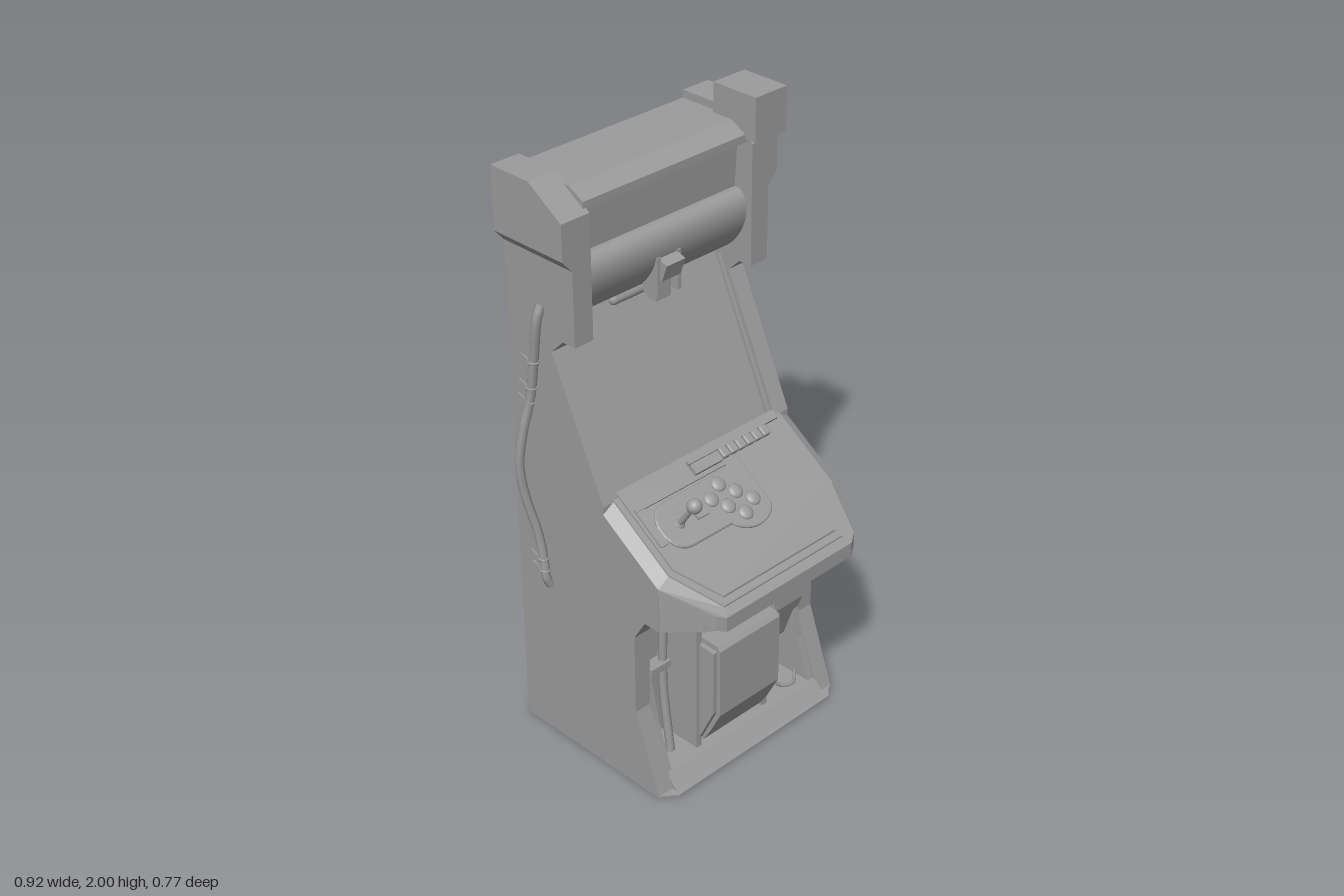
import * as THREE from 'three';
import { RoundedBoxGeometry } from 'three/addons/geometries/RoundedBoxGeometry.js';

const grey = new THREE.MeshStandardMaterial({ color: 0x9b9b9b });
const V = (x, y, z) => new THREE.Vector3(x, y, z);
const shapeOf = pts => new THREE.Shape(pts.map(p => new THREE.Vector2(p[0], p[1])));

export function createModel() {
  const root = new THREE.Group();
  root.name = 'arcadeCabinet';

  function add(name, geo, pos = [0, 0, 0], parent = root) {
    const m = new THREE.Mesh(geo, grey);
    m.name = name;
    m.position.set(...pos);
    parent.add(m);
    return m;
  }
  const box = (name, w, h, d, pos, parent) => add(name, new THREE.BoxGeometry(w, h, d), pos, parent);

  // side profile of [z, y] points, extruded from x0 to x1
  function prism(name, pts, x0, x1) {
    const g = new THREE.ExtrudeGeometry(shapeOf(pts), { depth: x1 - x0, bevelEnabled: false });
    g.rotateY(-Math.PI / 2).translate(x1, 0, 0);
    return add(name, g);
  }
  // plan outline of [x, z] points between two heights that depend on z and x
  function slab(name, pts, bottom, top) {
    const g = new THREE.ExtrudeGeometry(shapeOf(pts.map(([x, z]) => [x, -z])), { depth: 1, bevelEnabled: false });
    g.rotateX(-Math.PI / 2);
    const p = g.attributes.position;
    for (let i = 0; i < p.count; i++) p.setY(i, (p.getY(i) < 0.5 ? bottom : top)(p.getZ(i), p.getX(i)));
    g.computeVertexNormals();
    return add(name, g);
  }
  // completes a left half outline with its mirror image
  const mirror = half => [...half, ...half.map(([x, z]) => [-x, z]).reverse()];
  const tube = (name, pts, r, n = 40, sides = 8) =>
    add(name, new THREE.TubeGeometry(new THREE.CatmullRomCurve3(pts.map(p => V(...p))), n, r, sides));

  // central body: top beam, recessed marquee, rounded hood, screen, lower recess
  const hood = new THREE.CubicBezierCurve(new THREE.Vector2(-0.155, 1.69), new THREE.Vector2(-0.095, 1.67),
    new THREE.Vector2(-0.115, 1.55), new THREE.Vector2(-0.2, 1.485)).getPoints(20).map(p => [p.x, p.y]);
  prism('centralBody', [[-0.385, 0], [-0.385, 1.905], [-0.17, 1.905], [-0.115, 1.875], [-0.115, 1.85],
    [-0.16, 1.85], [-0.17, 1.69], ...hood, [-0.265, 1.48], [-0.025, 0.95], [-0.025, 0.64],
    [0.03, 0.64], [0.03, 0]], -0.33, 0.33);
  // floor ramp and the thin foot plate with clipped corners
  prism('baseTray', [[0.02, 0], [0.245, 0], [0.2, 0.05], [0.02, 0.05]], -0.335, 0.335);
  slab('footPlate', mirror([[-0.388, 0], [-0.388, 0.215], [-0.34, 0.255]]), () => 0, () => 0.006);

  for (const s of [-1, 1]) {
    const span = (a, b) => s > 0 ? [a, b] : [-b, -a];
    prism('sidePanel', [[-0.385, 0], [0.22, 0], [0.12, 0.28], [0.12, 0.56], [0.165, 0.635], [0.225, 0.635],
      [0.225, 0.785], [0, 0.937], [0, 0.965], [-0.2, 1.4], [-0.15, 1.45], [-0.385, 1.45]], ...span(0.33, 0.39));
    prism('screenBezel', [[0.01, 0.94], [-0.015, 0.965], [-0.255, 1.48], [-0.3, 1.48], [-0.06, 0.94]], ...span(0.32, 0.335));

    // marquee cheek, flaring outward above the panel
    const cheek = new THREE.ExtrudeGeometry(shapeOf([[0.32, 1.45], [0.39, 1.45], [0.39, 1.69], [0.425, 1.73],
      [0.425, 1.83], [0.32, 1.83]].map(([x, y]) => [s * x, y])), { depth: 0.285, bevelEnabled: false });
    add('marqueeCheek', cheek, [0, 0, -0.385]);
    prism('cheekCap', [[-0.385, 1.83], [-0.1, 1.83], [-0.1, 1.845], [-0.23, 1.93], [-0.385, 1.93]], ...span(0.32, 0.425));

    // side cable with ties
    const path = [[0.39, 1.54, -0.237], [0.405, 1.5, -0.24], [0.405, 1.35, -0.264], [0.408, 1.22, -0.283],
      [0.43, 1.12, -0.294], [0.445, 1, -0.302], [0.432, 0.88, -0.295], [0.41, 0.76, -0.275],
      [0.405, 0.66, -0.258], [0.405, 0.6, -0.25], [0.39, 0.57, -0.247]];
    tube('sideCable', path.map(([x, y, z]) => [s * x, y, z]), 0.015, 50, 7);
    for (const [y, z] of [[1.35, -0.264], [1.26, -0.277], [1.21, -0.284], [0.67, -0.26], [0.63, -0.254]]) {
      const tie = add('cableTie', new THREE.TorusGeometry(0.016, 0.003, 6, 14), [s * 0.405, y, z]);
      tie.rotation.x = Math.PI / 2 + 0.15;
      const tail = box('tieTail', 0.004, 0.004, 0.05, [s * 0.414, y + 0.006, z - 0.02]);
      tail.rotation.x = 0.3;
    }
    // inner rail following the leg opening
    prism('legRail', [[0.03, 0.64], [0.15, 0.64], [0.1, 0.56], [0.1, 0.38], [0.14, 0.2], [0.19, 0.05], [0.03, 0.05]],
      ...span(0.31, 0.335));
  }

  // control deck: body, bevelled rim, step and raised surface, all on one slope
  const slope = d => z => 0.965 - 0.675 * z - d;
  const rimTop = (z, x) => slope(Math.abs(x) > 0.36 ? 0.025 : 0)(z);
  slab('deckBody', mirror([[-0.33, -0.02], [-0.33, 0.15], [-0.388, 0.15], [-0.388, 0.225], [-0.3, 0.315], [-0.27, 0.335]]),
    () => 0.635, slope(0.032));
  const rims = [
    [[-0.392, 0], [-0.392, 0.225], [-0.3, 0.365], [-0.27, 0.383]],
    [[-0.35, 0], [-0.35, 0.225], [-0.255, 0.358]],
    [[-0.33, 0], [-0.33, 0.222], [-0.24, 0.34]]];
  const ring = (a, b) => [...mirror(a), ...mirror(b).reverse()];
  slab('deckRim', ring(rims[0], rims[1]), slope(0.05), rimTop);
  slab('deckRimStep', ring(rims[1], rims[2]), slope(0.045), slope(-0.006));
  slab('deckSurface', mirror([[-0.33, -0.01], ...rims[2].slice(1)]), slope(0.045), slope(-0.013));

  // controls sit in a group tilted with the deck; z is measured in plan
  const deck = new THREE.Group();
  deck.name = 'controls';
  deck.position.set(0, 0.977, 0);
  deck.rotation.x = Math.atan(0.675);
  root.add(deck);
  const c = Math.cos(deck.rotation.x);
  const onDeck = (x, z, h) => [x, h, z / c];

  const plate = new THREE.Shape();
  plate.moveTo(0.1, -0.06 / c);
  plate.lineTo(0.1, -0.2 / c);
  plate.bezierCurveTo(0.07, -0.24 / c, -0.02, -0.245 / c, -0.06, -0.195 / c);
  plate.lineTo(-0.22, -0.195 / c);
  plate.bezierCurveTo(-0.31, -0.195 / c, -0.31, -0.07 / c, -0.22, -0.07 / c);
  plate.lineTo(0.04, -0.07 / c);
  plate.lineTo(0.06, -0.06 / c);
  const plateGeo = new THREE.ExtrudeGeometry(plate, { depth: 0.006, bevelEnabled: true, bevelSize: 0.004, bevelThickness: 0.004, bevelSegments: 1, curveSegments: 12 });
  add('controlPlate', plateGeo.rotateX(-Math.PI / 2), [0, 0, 0], deck);
  box('plateBacking', 0.42, 0.01, 0.012, onDeck(-0.11, 0.055, 0.004), deck);
  box('plateSideStrip', 0.03, 0.008, 0.13, onDeck(-0.305, 0.11, 0.003), deck);

  const dome = new THREE.SphereGeometry(0.025, 20, 8, 0, Math.PI * 2, 0, Math.PI / 2).scale(1, 0.5, 1);
  for (const [x, z] of [[-0.075, 0.12], [-0.02, 0.095], [0.017, 0.13], [-0.038, 0.155], [0.055, 0.167], [0, 0.19]])
    add('button', dome, onDeck(x, z, 0.01), deck);
  box('squareButton', 0.045, 0.014, 0.045, onDeck(-0.137, 0.13, 0.012), deck);
  add('joystickBase', new THREE.CylinderGeometry(0.012, 0.018, 0.01, 20), onDeck(-0.22, 0.135, 0.013), deck);
  add('joystickShaft', new THREE.CylinderGeometry(0.008, 0.01, 0.1, 12), onDeck(-0.22, 0.135, 0.058), deck);
  add('joystickBall', new THREE.SphereGeometry(0.024, 20, 14), onDeck(-0.22, 0.135, 0.118), deck);
  box('keyStrip', 0.385, 0.014, 0.012, onDeck(0.127, 0.012, 0.007), deck);
  box('keyBlock', 0.112, 0.016, 0.034, onDeck(-0.009, 0.033, 0.008), deck);
  for (let i = 0; i < 6; i++)
    add('key', new RoundedBoxGeometry(0.03, 0.022, 0.034, 2, 0.005), onDeck(0.068 + i * 0.035, 0.031, 0.01), deck);

  // small sensor hanging from the hood
  const sensor = new THREE.Group();
  sensor.name = 'sensor';
  sensor.position.set(0, 1.535, -0.155);
  root.add(sensor);
  box('sensorHead', 0.075, 0.06, 0.07, [0, 0.03, 0.02], sensor).rotation.x = 0.35;
  for (const x of [-0.041, 0.041]) box('sensorBracket', 0.014, 0.13, 0.06, [x, 0, 0.005], sensor);
  box('sensorFoot', 0.06, 0.06, 0.04, [0, -0.06, -0.01], sensor);
  add('sensorMount', new RoundedBoxGeometry(0.25, 0.08, 0.04, 4, 0.019), [0, -0.07, -0.1], sensor).rotation.x = -0.43;

  // block on a neck above the left cheek
  box('topBlock', 0.13, 0.14, 0.17, [0.37, 1.93, -0.16]);
  box('topBlockNeck', 0.06, 0.05, 0.06, [0.37, 1.86, -0.16]).rotation.x = 0.5;

  // lower front: door frame, door panel and bulging box
  for (const x of [-0.172, 0.122]) box('doorPost', 0.022, 0.59, 0.145, [x, 0.345, 0.1]);
  box('doorPanel', 0.3, 0.58, 0.12, [-0.025, 0.345, 0.09]);
  box('doorLedge', 0.28, 0.02, 0.13, [-0.025, 0.485, 0.1]);
  prism('coinBox', [[0.04, 0.06], [0.175, 0.07], [0.2, 0.11], [0.245, 0.2], [0.245, 0.445], [0.232, 0.46], [0.04, 0.465]], -0.155, 0.105);
  for (const x of [-0.163, 0.113])
    prism('coinBoxEdge', [[0.04, 0.07], [0.17, 0.08], [0.232, 0.21], [0.232, 0.44], [0.04, 0.455]], x - 0.008, x + 0.008);

  // right-hand column with pipe, left-hand hanging box
  box('innerColumn', 0.075, 0.58, 0.05, [-0.29, 0.345, 0.05]);
  tube('pipe', [[-0.255, 0.63, 0.1], [-0.255, 0.5, 0.1], [-0.255, 0.3, 0.1], [-0.255, 0.06, 0.13]], 0.014);
  box('pipeClamp', 0.08, 0.025, 0.06, [-0.28, 0.385, 0.09]);
  prism('hangingBox', [[0.02, 0.19], [0.08, 0.19], [0.135, 0.35], [0.135, 0.54], [0.125, 0.565], [0.1, 0.58], [0.02, 0.58]], 0.205, 0.332);

  // loose cables in the recess
  tube('looseCable', [[0.165, 0.5, 0.1], [0.15, 0.4, 0.13], [0.16, 0.3, 0.14], [0.14, 0.18, 0.15], [0.15, 0.12, 0.15],
    [0.165, 0.2, 0.13], [0.18, 0.36, 0.1]], 0.007);
  tube('floorCable', [[0.17, 0.36, 0.06], [0.18, 0.2, 0.12], [0.2, 0.08, 0.16], [0.26, 0.06, 0.17], [0.32, 0.06, 0.12]], 0.006);

  return root;
}
